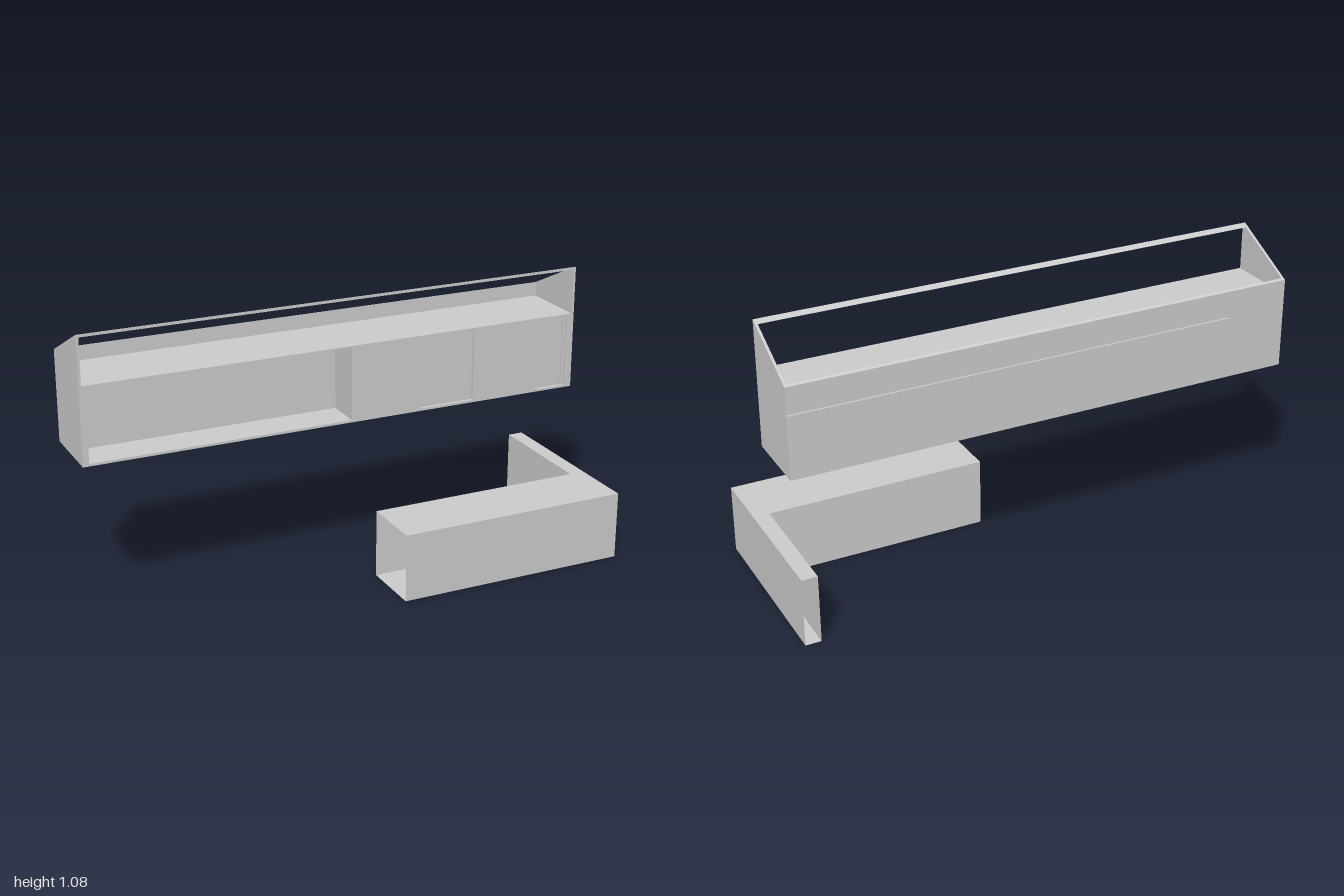
import * as THREE from 'three';

const grey = new THREE.MeshStandardMaterial({ color: 0xcccccc, flatShading: true });
const greyThin = new THREE.MeshStandardMaterial({ color: 0xcccccc, flatShading: true, side: THREE.DoubleSide });

// Body extents
const L = -1, R = 0.98, T = 0.01;            // ends and panel thickness
const BOTTOM = 0.595, SHELF = 0.892;
const FRONT = 0.02, BACK = -0.258;
const roofY = z => 1.077 + (z - FRONT) * (0.134 / 0.278);

function add(group, name, geometry, material = grey) {
  const mesh = new THREE.Mesh(geometry, material);
  mesh.name = name;
  group.add(mesh);
  return mesh;
}

// Profile given as [z, y] points, extruded along x
function alongX(points, x0, x1) {
  const shape = new THREE.Shape(points.map(([z, y]) => new THREE.Vector2(-z, y)));
  return new THREE.ExtrudeGeometry(shape, { depth: x1 - x0, bevelEnabled: false })
    .rotateY(Math.PI / 2).translate(x0, 0, 0);
}

function box(x0, x1, y0, y1, z0, z1) {
  return new THREE.BoxGeometry(x1 - x0, y1 - y0, z1 - z0)
    .translate((x0 + x1) / 2, (y0 + y1) / 2, (z0 + z1) / 2);
}

// Front-facing slab with rectangular holes [x0, x1]
function slab(holes, z0, z1) {
  const rect = (P, x0, x1, y0, y1) => new P([[x0, y0], [x1, y0], [x1, y1], [x0, y1]]
    .map(p => new THREE.Vector2(...p)));
  const shape = rect(THREE.Shape, L + T, R - T, BOTTOM, SHELF);
  holes.forEach(([x0, x1]) => shape.holes.push(rect(THREE.Path, x0, x1, 0.604, 0.887)));
  return new THREE.ExtrudeGeometry(shape, { depth: z1 - z0, bevelEnabled: false }).translate(0, 0, z0);
}

function makeBody() {
  const body = new THREE.Group();
  body.name = 'upperBody';
  const notch = [[BACK, 0.836], [BACK + 0.008, 0.836], [BACK + 0.008, 0.857], [BACK, 0.857]];
  const profile = (zFront, cut) => [
    [zFront, BOTTOM], [BACK, BOTTOM], ...(cut ? notch : []),
    [BACK, roofY(BACK)], [zFront, roofY(zFront)],
  ];

  // Sloping end panels; the back groove runs out through one of them
  add(body, 'rightEndPanel', alongX(profile(FRONT, false), L, L + T));
  add(body, 'leftEndPanel', alongX(profile(FRONT, true), R - T, R));

  // Back wall, plain at one end and grooved for the rest
  add(body, 'backWall', alongX(profile(BACK + T, false), L + T, -0.76));
  add(body, 'groovedBackWall', alongX(profile(BACK + T, true), -0.76, R - T));

  // Slim bar across the top of the front opening
  add(body, 'topBar', alongX([[FRONT, 1.066], [-0.002, 1.066], [FRONT, 1.077]], L + T, R - T));

  // Lower cabinet: deep bay, two shallow panels, shelf on top
  const bay = [-0.977, 0.033];
  add(body, 'cabinetFront', slab([bay, [0.318, 0.543], [0.825, 0.951]], FRONT - 0.013, FRONT));
  add(body, 'cabinetMiddle', slab([bay], -0.125, FRONT - 0.013));
  add(body, 'cabinetRear', slab([], BACK + T, -0.125));
  add(body, 'doorStrip', box(0.938, 0.951, 0.604, 0.887, FRONT - 0.013, FRONT - 0.007));
  return body;
}

function makeCounter() {
  const counter = new THREE.Group();
  counter.name = 'lowerCounter';
  const H = 0.264, x0 = 0.09, x1 = 1, xi = 0.94, z0 = -0.36, z1 = 0.36, zi = 0.115;

  // L-shaped top and bottom sheets
  const shape = new THREE.Shape([[x0, z1], [x1, z1], [x1, z0], [xi, z0], [xi, zi], [x0, zi]]
    .map(([x, z]) => new THREE.Vector2(x, -z)));
  const sheet = new THREE.ShapeGeometry(shape).rotateX(-Math.PI / 2);
  add(counter, 'counterTop', sheet, greyThin).position.y = H;
  add(counter, 'counterBottom', sheet.clone().scale(1, -1, 1), greyThin);

  // Upright walls; both ends of the L stay open
  const walls = [
    ['frontWall', x0, z1, x1, z1], ['outerSideWall', x1, z1, x1, z0],
    ['innerSideWall', xi, z0, xi, zi], ['rearWall', xi, zi, x0, zi],
  ];
  for (const [name, ax, az, bx, bz] of walls) {
    const wall = add(counter, name, new THREE.PlaneGeometry(Math.hypot(bx - ax, bz - az), H), greyThin);
    wall.position.set((ax + bx) / 2, H / 2, (az + bz) / 2);
    wall.rotation.y = Math.atan2(az - bz, bx - ax);
  }
  return counter;
}

export function createModel() {
  const model = new THREE.Group();
  model.name = 'counterUnit';
  model.add(makeBody(), makeCounter());
  return model;
}
